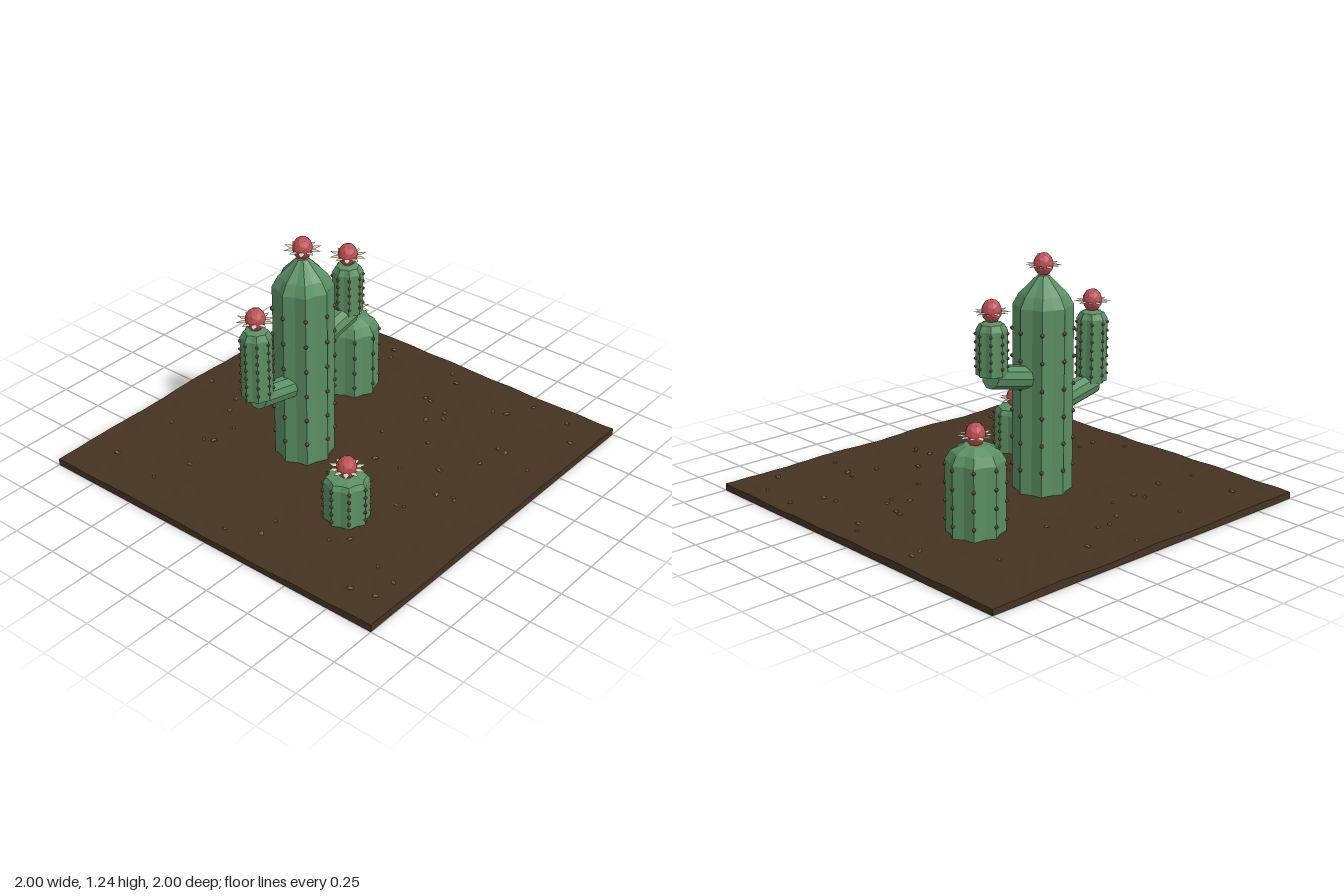
import * as THREE from 'three';
import { mergeGeometries } from 'three/addons/utils/BufferGeometryUtils.js';

const mat = (color) => new THREE.MeshStandardMaterial({ color, flatShading: true });
const green = mat(0x5a8f63), red = mat(0xbd4f52), cream = mat(0xd8ccb4);
const brown = mat(0x80583f), soil = mat(0x453322);
const RIBS = 8;

function mesh(name, geometry, material) {
  const m = new THREE.Mesh(geometry, material);
  m.name = name;
  return m;
}

// Lathe whose odd columns are pulled in, making sharp vertical ribs
function ribbedBody(profile) {
  const pts = profile.map(([r, y]) => new THREE.Vector2(r, y));
  const geo = new THREE.LatheGeometry(pts, RIBS * 2);
  const pos = geo.attributes.position;
  for (let i = 0; i < pos.count; i++) {
    if (Math.floor(i / pts.length) % 2 === 1) {
      pos.setX(i, pos.getX(i) * 0.86);
      pos.setZ(i, pos.getZ(i) * 0.86);
    }
  }
  geo.computeVertexNormals();
  return geo;
}

// Rows of small thorns along every rib
function thorns(radius, y0, y1, rows, size) {
  const list = [];
  for (let k = 0; k < RIBS; k++) {
    const a = (k / RIBS) * Math.PI * 2;
    for (let j = 0; j < rows; j++) {
      const g = new THREE.IcosahedronGeometry(size, 0);
      g.translate(Math.sin(a) * radius, y0 + ((y1 - y0) * j) / (rows - 1), Math.cos(a) * radius);
      list.push(g);
    }
  }
  return mergeGeometries(list);
}

// Red bud with a ring of flat pointed petals
function flower(y) {
  const group = new THREE.Group();
  group.name = 'flower';
  const bud = new THREE.IcosahedronGeometry(0.05, 1);
  bud.scale(1, 1.18, 1);
  group.add(mesh('bud', bud, red));
  const petals = [];
  const count = 10;
  for (let i = 0; i < count; i++) {
    const g = new THREE.OctahedronGeometry(1, 0);
    g.scale(0.032, 0.003, 0.015);
    g.rotateZ(i % 2 ? 0.12 : -0.05);
    g.translate(0.062, -0.004, 0);
    g.rotateY((i / count) * Math.PI * 2);
    petals.push(g);
  }
  group.add(mesh('petals', mergeGeometries(petals), cream));
  group.position.y = y;
  return group;
}

// One cactus column: ribbed body, thorns and flower
function column(name, { x, z, radius, profile, flowerY, rows, from, to, size }) {
  const group = new THREE.Group();
  group.name = name;
  group.position.set(x, 0, z);
  group.add(mesh('body', ribbedBody(profile), green));
  group.add(mesh('thorns', thorns(radius, from, to, rows, size), brown));
  group.add(flower(flowerY));
  return group;
}

// Slanted arm between trunk and side column
function arm(name, x0, y0, x1, y1, z) {
  const a = new THREE.Vector3(x0, y0, z), b = new THREE.Vector3(x1, y1, z);
  const m = mesh(name, new THREE.CylinderGeometry(0.06, 0.06, a.distanceTo(b), 10), green);
  m.position.copy(a).lerp(b, 0.5);
  m.quaternion.setFromUnitVectors(new THREE.Vector3(0, 1, 0), b.sub(a).normalize());
  return m;
}

const soilHeight = (x, z) =>
  0.035 + 0.003 * Math.sin(9 * x + 4 * z) + 0.002 * Math.sin(17 * z - 11 * x) + 0.001 * Math.sin(41 * x + 29 * z);

function ground() {
  const geo = new THREE.BoxGeometry(2, 0.035, 2, 40, 1, 40);
  geo.translate(0, 0.0175, 0);
  const pos = geo.attributes.position;
  for (let i = 0; i < pos.count; i++) {
    if (pos.getY(i) > 0.02) pos.setY(i, soilHeight(pos.getX(i), pos.getZ(i)));
  }
  geo.computeVertexNormals();
  return mesh('ground', geo, soil);
}

// Pebbles at [x, z] on the soil
function pebbles() {
  const spots = [
    [0.02, -0.91], [-0.78, -0.81], [-0.4, -0.8], [0.23, -0.8], [-0.03, -0.69], [0.04, -0.68],
    [-0.13, -0.64], [0.64, -0.65], [-0.41, -0.56], [-0.39, -0.51], [-0.81, -0.52], [0.21, -0.51],
    [-0.61, -0.47], [-0.24, -0.51], [0.9, -0.35], [0.83, -0.32], [-0.89, 0.03], [-0.81, 0.19],
    [-0.7, 0.18], [-0.18, 0.18], [0.01, 0.22], [0.02, 0.37], [0.62, 0.08], [0.61, 0.12],
    [0.9, 0.05], [0.84, 0.12], [0.57, 0.24], [0.52, 0.27], [0.46, 0.2], [0.29, 0.34],
    [0.74, 0.43], [0.76, 0.5], [-0.65, 0.47], [-0.58, 0.54], [-0.23, 0.54], [-0.22, 0.58],
    [0.13, 0.53], [0.31, 0.65], [0.47, 0.65], [0.46, 0.7], [-0.01, 0.72], [-0.03, 0.74],
    [-0.86, 0.77], [-0.66, 0.77], [-0.83, 0.89], [-0.7, 0.89], [0.41, 0.87], [0.75, 0.9],
    [0.91, 0.57], [0.89, 0.79], [-0.04, 0.64], [0.22, 0.1],
  ];
  const list = spots.map(([x, z], i) => {
    const g = new THREE.IcosahedronGeometry(0.012 + 0.003 * Math.sin(i * 2.3), 0);
    g.scale(1.3, 0.6, 0.9);
    g.rotateY(i * 1.7);
    g.translate(x, soilHeight(x, z) + 0.001, z);
    return g;
  });
  return mesh('pebbles', mergeGeometries(list), brown);
}

export function createModel() {
  const root = new THREE.Group();
  root.name = 'cactusGarden';
  root.add(ground(), pebbles());

  // Tall cactus with two arms
  const tx = -0.145, tz = -0.108;
  root.add(column('tallCactus', {
    x: tx, z: tz, radius: 0.15, flowerY: 1.18, rows: 6, from: 0.16, to: 0.86, size: 0.012,
    profile: [[0, 0.02], [0.15, 0.02], [0.15, 0.98], [0.12, 1.035], [0.03, 1.125], [0, 1.13]],
  }));
  root.add(arm('rightArm', tx, 0.44, -0.487, 0.513, tz));
  root.add(arm('leftArm', tx, 0.61, 0.2, 0.682, tz));

  const sideColumn = (name, x, bottom, top, rows) => column(name, {
    x, z: tz, radius: 0.077, flowerY: top + 0.052, rows, from: bottom + 0.04, to: top - 0.06, size: 0.009,
    profile: [[0, bottom], [0.077, bottom], [0.077, top - 0.04], [0.06, top - 0.01], [0.03, top], [0, top]],
  });
  root.add(sideColumn('rightColumn', -0.485, 0.522, 0.89, 7));
  root.add(sideColumn('leftColumn', 0.193, 0.693, 0.955, 5));

  // Two round cacti standing alone
  root.add(column('mediumCactus', {
    x: 0.483, z: -0.315, radius: 0.144, flowerY: 0.513, rows: 4, from: 0.095, to: 0.37, size: 0.011,
    profile: [[0, 0.02], [0.144, 0.02], [0.144, 0.39], [0.118, 0.435], [0.06, 0.465], [0, 0.465]],
  }));
  root.add(column('smallCactus', {
    x: -0.448, z: 0.412, radius: 0.114, flowerY: 0.318, rows: 5, from: 0.065, to: 0.235, size: 0.01,
    profile: [[0, 0.02], [0.114, 0.02], [0.114, 0.24], [0.1, 0.265], [0.05, 0.275], [0, 0.275]],
  }));
  return root;
}
